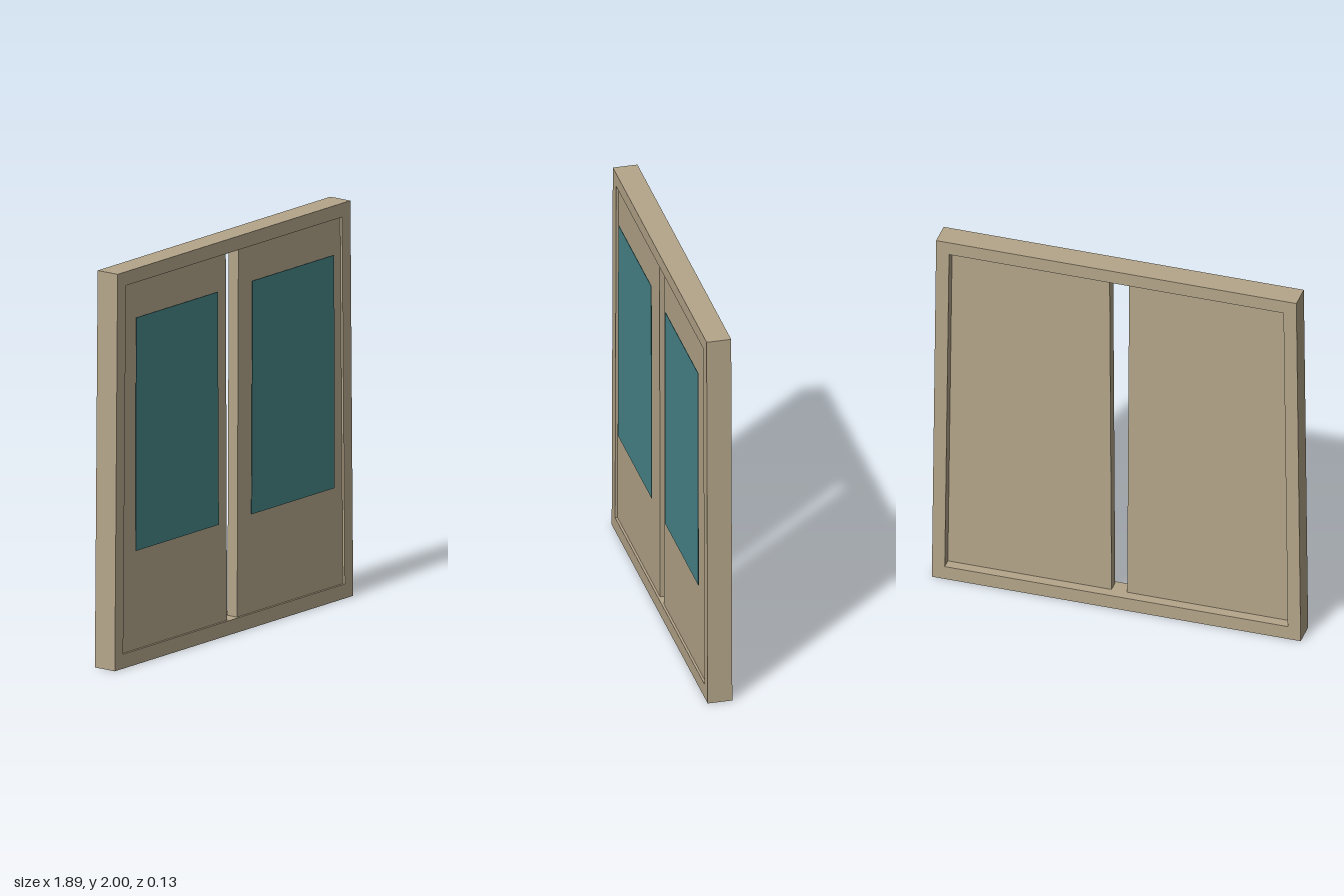
import * as THREE from 'three';

const tan = new THREE.MeshStandardMaterial({ name: 'tan paint', color: 0xb5a68a });
const teal = new THREE.MeshStandardMaterial({ name: 'teal glass', color: 0x488689 });

const toPoints = (corners) => corners.map(([x, y]) => new THREE.Vector2(x, y));

// Flat outline extruded between two depths, with an optional hole
function panel(name, corners, hole, back, front, material) {
  const shape = new THREE.Shape(toPoints(corners));
  if (hole) shape.holes.push(new THREE.Path(toPoints(hole)));
  const geometry = new THREE.ExtrudeGeometry(shape, { depth: front - back, bevelEnabled: false });
  geometry.translate(0, 0, back);
  const mesh = new THREE.Mesh(geometry, material);
  mesh.name = name;
  return mesh;
}

export function createModel() {
  const model = new THREE.Group();
  model.name = 'doubleDoor';

  // Surround, slightly narrower at the top
  model.add(panel('frame',
    [[-0.944, 0], [0.944, 0], [0.922, 2], [-0.922, 2]],
    [[-0.878, 0.073], [-0.856, 1.93], [0.856, 1.93], [0.878, 0.073]],
    -0.066, 0.058, tan));

  // Two leaves with a tapering gap between, each with a window plate
  const leaf = [[0.04, 0.073], [0.878, 0.073], [0.856, 1.93], [0.05, 1.93]];
  const glass = [[0.13, 0.577], [0.788, 0.577], [0.783, 1.754], [0.138, 1.754]];
  for (const [side, s] of [['left', 1], ['right', -1]]) {
    const mirror = (corners) => corners.map(([x, y]) => [s * x, y]);
    model.add(panel(side + 'Door', mirror(leaf), null, -0.014, 0.046, tan));
    model.add(panel(side + 'Window', mirror(glass), null, 0.063, 0.066, teal));
  }
  return model;
}
